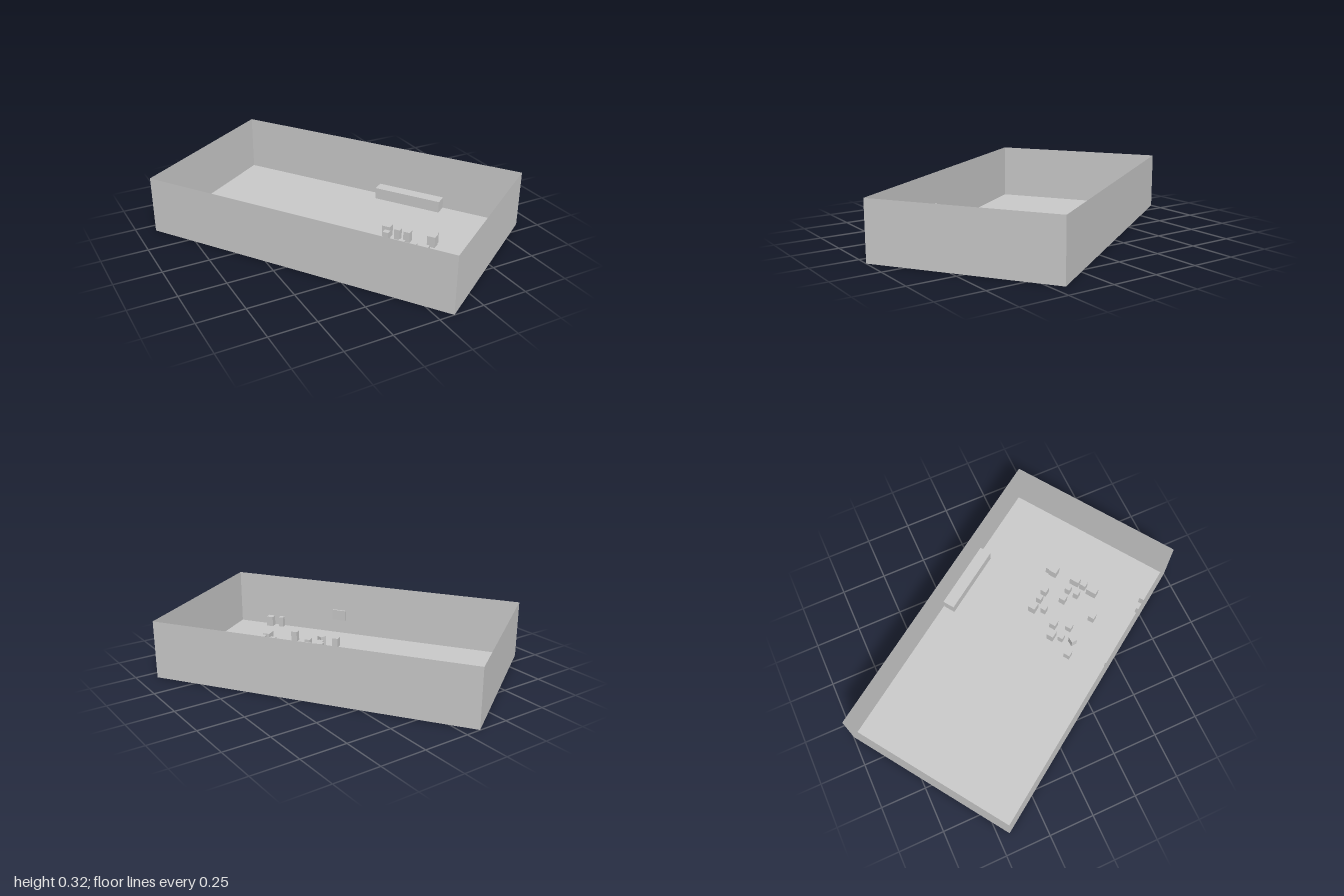
import * as THREE from 'three';

const WIDTH = 0.993, LENGTH = 1.742, HEIGHT = 0.318, YAW = 0.6;

export function createModel() {
  const model = new THREE.Group();
  model.name = 'room';
  // The whole room is turned about the vertical axis
  model.rotation.y = YAW;

  const solid = new THREE.MeshStandardMaterial({ color: 0xcccccc, flatShading: true });
  const sheet = new THREE.MeshStandardMaterial({ color: 0xcccccc, side: THREE.DoubleSide });

  function addSheet(name, w, h, x, y, z, rx, ry) {
    const mesh = new THREE.Mesh(new THREE.PlaneGeometry(w, h), sheet);
    mesh.name = name;
    mesh.position.set(x, y, z);
    mesh.rotation.set(rx, ry, 0);
    model.add(mesh);
  }

  function addBox(name, x, z, w, h, d, y = 0, turn = 0, parent = model) {
    const mesh = new THREE.Mesh(new THREE.BoxGeometry(w, h, d), solid);
    mesh.name = name;
    mesh.position.set(x, y + h / 2, z);
    mesh.rotation.y = turn;
    parent.add(mesh);
  }

  // Floor and four thin walls, open at the top
  addSheet('floor', WIDTH, LENGTH, 0, 0, 0, -Math.PI / 2, 0);
  for (const s of [-1, 1]) {
    addSheet(s > 0 ? 'frontWall' : 'backWall', WIDTH, HEIGHT, 0, HEIGHT / 2, s * LENGTH / 2, 0, s > 0 ? 0 : Math.PI);
    addSheet(s > 0 ? 'leftWall' : 'rightWall', LENGTH, HEIGHT, s * WIDTH / 2, HEIGHT / 2, 0, 0, s * Math.PI / 2);
  }

  // Long counter against the left wall
  addBox('counter', 0.46, 0.233, 0.068, 0.067, 0.4);

  // Thin panel hung on the right wall
  addBox('wallPanel', -0.485, 0.203, 0.01, 0.062, 0.085, 0.085, -0.05);

  // Small furniture blocks: x, z, width, height, depth, turn
  const blocks = [
    [-0.265, 0.140, 0.036, 0.055, 0.036],
    [-0.249, 0.223, 0.036, 0.06, 0.034, -0.5],
    [-0.130, 0.190, 0.04, 0.065, 0.045],
    [-0.184, 0.207, 0.03, 0.055, 0.032],
    [-0.107, 0.254, 0.037, 0.06, 0.037],
    [-0.191, 0.285, 0.035, 0.055, 0.033],
    [0.046, 0.283, 0.042, 0.065, 0.046],
    [-0.014, 0.305, 0.03, 0.06, 0.032],
    [0.041, 0.348, 0.03, 0.06, 0.032],
    [0.041, 0.405, 0.035, 0.06, 0.037],
    [-0.075, 0.416, 0.036, 0.06, 0.036],
    [0.058, 0.541, 0.046, 0.062, 0.045],
    [0.085, 0.541, 0.036, 0.06, 0.035],
    [-0.071, 0.484, 0.03, 0.06, 0.034],
    [-0.126, 0.483, 0.03, 0.06, 0.034],
    [-0.273, 0.404, 0.036, 0.06, 0.036],
    [-0.079, 0.551, 0.055, 0.062, 0.035],
    [-0.133, 0.551, 0.036, 0.06, 0.034],
    [-0.195, 0.544, 0.06, 0.062, 0.04],
    [-0.477, 0.585, 0.026, 0.06, 0.028],
    [-0.469, 0.656, 0.036, 0.06, 0.04],
  ];
  const furniture = new THREE.Group();
  furniture.name = 'furniture';
  for (const [x, z, w, h, d, turn = 0] of blocks) addBox('furnitureBlock', x, z, w, h, d, 0, turn, furniture);
  model.add(furniture);

  const root = new THREE.Group();
  root.add(model);
  return root;
}
